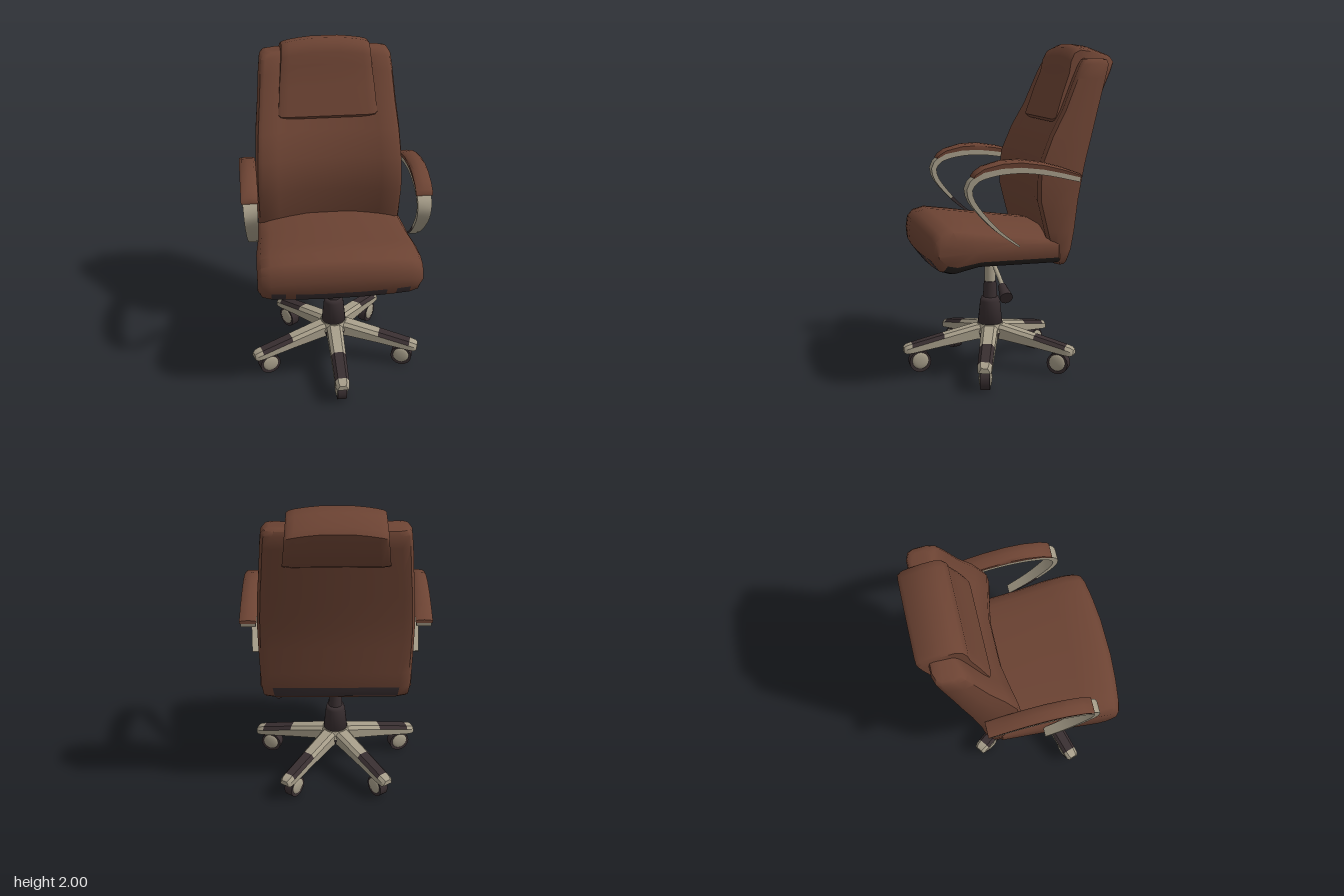
import * as THREE from 'three';
import { toCreasedNormals } from 'three/addons/utils/BufferGeometryUtils.js';

const paint = (name, color) => {
  const m = new THREE.MeshStandardMaterial({ color });
  m.name = name;
  return m;
};

// Closed skin over a list of rings; pick(i, j) chooses the material of each quad.
function loft(name, rings, mats, pick = () => 0, crease = 0.8) {
  const buckets = mats.map(() => []);
  const n = rings[0].length;
  for (let i = 0; i < rings.length - 1; i++) {
    for (let j = 0; j < n; j++) {
      const k = (j + 1) % n;
      const a = rings[i][j], b = rings[i][k], c = rings[i + 1][k], d = rings[i + 1][j];
      buckets[pick(i, j)].push([a, b, c], [a, c, d]);
    }
  }
  const cap = (ring, flip) => {
    const mid = [0, 1, 2].map(k => ring.reduce((s, p) => s + p[k], 0) / n);
    ring.forEach((p, j) => {
      const q = ring[(j + 1) % n];
      buckets[0].push(flip ? [mid, q, p] : [mid, p, q]);
    });
  };
  cap(rings[0], true);
  cap(rings[rings.length - 1], false);
  // Turn every face outward according to the enclosed volume
  const vol = buckets.flat().reduce((s, [a, b, c]) => s
    + a[0] * (b[1] * c[2] - b[2] * c[1])
    + a[1] * (b[2] * c[0] - b[0] * c[2])
    + a[2] * (b[0] * c[1] - b[1] * c[0]), 0);
  const pos = [];
  const geo = new THREE.BufferGeometry();
  buckets.forEach((tris, m) => {
    geo.addGroup(pos.length / 3, tris.length * 3, m);
    tris.forEach(([a, b, c]) => pos.push(...a, ...(vol < 0 ? c : b), ...(vol < 0 ? b : c)));
  });
  geo.setAttribute('position', new THREE.Float32BufferAttribute(pos, 3));
  const mesh = new THREE.Mesh(toCreasedNormals(geo, crease), mats);
  mesh.name = name;
  return mesh;
}

// Cushion rings: a (z, y) profile swept across x, shrinking toward both ends.
function cushionRings(profile, stations, centre, width, dropY, dropZ, shrink) {
  return stations.map(u => {
    const a = Math.abs(u);
    const [sz, sy] = a > 0.98 ? shrink[1] : a > 0.9 ? shrink[0] : [1, 1];
    return profile.map(([z, y]) => [
      u * width(z, y),
      centre[1] + (y - centre[1]) * sy - (y > centre[1] ? dropY * u * u : 0),
      centre[0] + (z - centre[0]) * sz - (z > centre[0] ? dropZ * u * u : 0),
    ]);
  });
}

const mirrored = list => [...list.map(v => -v).reverse(), ...list];

export function createModel() {
  const leather = paint('brown leather', 0x6c4333);
  const metal = paint('warm grey metal', 0xa69d89);
  const plastic = paint('dark plastic', 0x382e30);
  const under = paint('black underside', 0x211d1b);
  const chair = new THREE.Group();
  chair.name = 'officeChair';

  const add = (parent, name, geo, mat, x = 0, y = 0, z = 0) => {
    const m = new THREE.Mesh(geo, mat);
    m.name = name;
    m.position.set(x, y, z);
    parent.add(m);
    return m;
  };

  // Seat cushion with black underside and dark patches on the lower front
  const seatProfile = [[-0.25, 0.91], [0.05, 0.95], [0.3, 0.982], [0.44, 1.0], [0.51, 0.98], [0.545, 0.94],
    [0.555, 0.87], [0.55, 0.785], [0.5, 0.718], [0.44, 0.7], [0.29, 0.735], [-0.25, 0.73]];
  const seatU = mirrored([0.25, 0.55, 0.67, 0.84, 0.95, 1]);
  chair.add(loft('seat',
    cushionRings(seatProfile, seatU, [0.15, 0.85],
      z => 0.457 + 0.028 * THREE.MathUtils.clamp((z + 0.1) / 0.45, 0, 1),
      0.045, 0.04, [[0.985, 0.93], [0.94, 0.66]]),
    [leather, plastic, under],
    (i, j) => {
      const u = Math.abs(seatU[i] + seatU[i + 1]) / 2;
      if (j === 7) return u < 0.55 || (u > 0.67 && u < 0.84) ? 1 : 0;
      return j >= 8 && j <= 10 ? 2 : 0;
    }));

  // Backrest: rings of [y, front z, rear z, half width], side bolsters proud of the middle
  const backRows = [[0.72, -0.22, -0.28, 0.42], [0.74, -0.2, -0.3, 0.44], [0.81, -0.18, -0.322, 0.45],
    [0.92, -0.15, -0.34, 0.455], [1.1, -0.105, -0.36, 0.46], [1.21, -0.105, -0.38, 0.46],
    [1.315, -0.115, -0.402, 0.455], [1.475, -0.18, -0.445, 0.445], [1.62, -0.26, -0.485, 0.43],
    [1.8, -0.335, -0.535, 0.415], [1.88, -0.372, -0.557, 0.405], [1.905, -0.395, -0.55, 0.39],
    [1.915, -0.42, -0.53, 0.36]];
  const backRings = backRows.map(([y, f, b, w]) => {
    const dent = Math.min(0.05, (f - b) * 0.3);
    const half = [[0.33, f - dent], [0.7, f - dent * 0.4], [0.91, f], [0.97, f - 0.015], [1, f + (b - f) * 0.35],
      [0.99, f + (b - f) * 0.75], [0.95, b + 0.015], [0.84, b]];
    return [...half.map(([x, z]) => [x * w, y, z]), ...half.reverse().map(([x, z]) => [-x * w, y, z])];
  });
  chair.add(loft('backrest', backRings, [leather, plastic], (i, j) => (i === 1 && j === 7 ? 1 : 0)));

  // Headrest pillow folded over the top of the back
  const headProfile = [[-0.237, 1.56], [-0.29, 1.72], [-0.333, 1.86], [-0.345, 1.93], [-0.37, 1.98], [-0.41, 2.0],
    [-0.49, 1.99], [-0.6, 1.95], [-0.622, 1.92], [-0.605, 1.87], [-0.54, 1.7], [-0.515, 1.685],
    [-0.42, 1.7], [-0.31, 1.55], [-0.255, 1.54]];
  chair.add(loft('headrest',
    cushionRings(headProfile, mirrored([0.3, 0.6, 0.82, 0.95, 1]), [-0.43, 1.8],
      (z, y) => 0.305 - 0.08 * (y - 1.54), 0.03, 0, [[0.985, 0.99], [0.93, 0.95]]),
    [leather]));

  // Armrests: looping flat metal bar and a padded top
  const barCurve = new THREE.CatmullRomCurve3([[-0.32, 1.24], [-0.1, 1.287], [0.05, 1.3], [0.2, 1.285], [0.29, 1.252],
    [0.325, 1.2], [0.31, 1.135], [0.235, 1.035], [0.15, 0.95], [0.03, 0.86]]
    .map(([z, y]) => new THREE.Vector3(0, y, z)));
  const padRows = [[-0.325, 1.247, 1.268], [-0.21, 1.276, 1.31], [-0.1, 1.3, 1.34], [0.03, 1.315, 1.36],
    [0.14, 1.312, 1.355], [0.245, 1.293, 1.326], [0.29, 1.268, 1.295], [0.302, 1.262, 1.275]];
  const barSteps = 30;
  for (const s of [1, -1]) {
    const arm = new THREE.Group();
    arm.name = s > 0 ? 'leftArmrest' : 'rightArmrest';
    chair.add(arm);
    const barRings = [];
    for (let i = 0; i <= barSteps; i++) {
      const t = i / barSteps;
      const p = barCurve.getPointAt(t), d = barCurve.getTangentAt(t);
      const h = t < 0.55 ? 0.018 : 0.018 - 0.013 * (t - 0.55) / 0.45;
      const outer = t < 0.5 ? 0.55 : 0.55 - 0.03 * (t - 0.5) / 0.5;
      barRings.push([[0.463, 1], [outer, 1], [outer, -1], [0.463, -1]]
        .map(([x, k]) => [s * x, p.y + k * h * d.z, p.z - k * h * d.y]));
    }
    arm.add(loft('armBar', barRings, [metal, plastic], (i, j) => (j === 3 && i > 23 ? 1 : 0)));
    const padRings = padRows.map(([z, b, t]) => [[0.459, b], [0.457, b + (t - b) * 0.6], [0.47, t - 0.003], [0.507, t],
      [0.543, t - 0.003], [0.557, b + (t - b) * 0.6], [0.554, b]].map(([x, y]) => [s * x, y, z]));
    arm.add(loft('armPad', padRings, [leather]));
  }

  // Gas lift column
  const base = new THREE.Group();
  base.name = 'base';
  base.position.z = 0.07;
  chair.add(base);
  add(base, 'piston', new THREE.CylinderGeometry(0.034, 0.034, 0.22, 20), metal, 0, 0.63);
  add(base, 'columnCollar', new THREE.CylinderGeometry(0.038, 0.045, 0.11, 20), plastic, 0, 0.49);
  add(base, 'columnCover', new THREE.LatheGeometry(
    [[0, 0.27], [0.078, 0.27], [0.062, 0.42], [0.054, 0.445], [0, 0.445]].map(p => new THREE.Vector2(...p)), 20), plastic);
  add(base, 'hub', new THREE.CylinderGeometry(0.08, 0.1, 0.05, 20), metal, 0, 0.255);
  add(base, 'hubRing', new THREE.CylinderGeometry(0.098, 0.09, 0.04, 20), plastic, 0, 0.21);

  // Height lever with knob
  const leverPath = new THREE.CatmullRomCurve3([[0.05, 0.73], [0.08, 0.695], [0.12, 0.66], [0.2, 0.625], [0.3, 0.58]]
    .map(([x, y]) => new THREE.Vector3(x, y, 0)));
  add(base, 'lever', new THREE.TubeGeometry(leverPath, 16, 0.014, 10), metal);
  const knob = add(base, 'leverKnob', new THREE.CylinderGeometry(0.024, 0.04, 0.11, 12), plastic, 0.332, 0.553);
  knob.rotation.z = 1.1;

  // Five legs with dark foot plates and casters
  const legRows = [[0.03, 0.052, 0.28, 0.19], [0.1, 0.05, 0.272, 0.188], [0.3, 0.046, 0.228, 0.16],
    [0.5, 0.043, 0.182, 0.128], [0.535, 0.04, 0.172, 0.125], [0.55, 0.03, 0.16, 0.13]];
  const legRings = legRows.map(([r, w, t, b]) => [[w, b], [w, t - 0.02], [w * 0.6, t], [-w * 0.6, t],
    [-w, t - 0.02], [-w, b]].map(([x, y]) => [x, y, r]));
  for (let k = 0; k < 5; k++) {
    const leg = new THREE.Group();
    leg.name = 'leg' + (k + 1);
    leg.rotation.y = k * Math.PI * 2 / 5;
    base.add(leg);
    leg.add(loft('legBeam', legRings, [metal, plastic, under],
      (i, j) => (j === 5 ? 2 : (i === 2 && j >= 1 && j <= 3 ? 1 : 0)), 0.6));
    add(leg, 'casterStem', new THREE.CylinderGeometry(0.016, 0.016, 0.06, 10), plastic, 0, 0.13, 0.45);
    const wheel = add(leg, 'casterWheel', new THREE.CylinderGeometry(0.067, 0.067, 0.056, 16), plastic, 0, 0.067, 0.45);
    wheel.rotation.z = Math.PI / 2;
    for (const s of [1, -1]) {
      const disc = add(leg, 'wheelCap', new THREE.SphereGeometry(0.052, 16, 8), metal, s * 0.027, 0.073, 0.45);
      disc.scale.x = 0.25;
    }
  }
  return chair;
}
